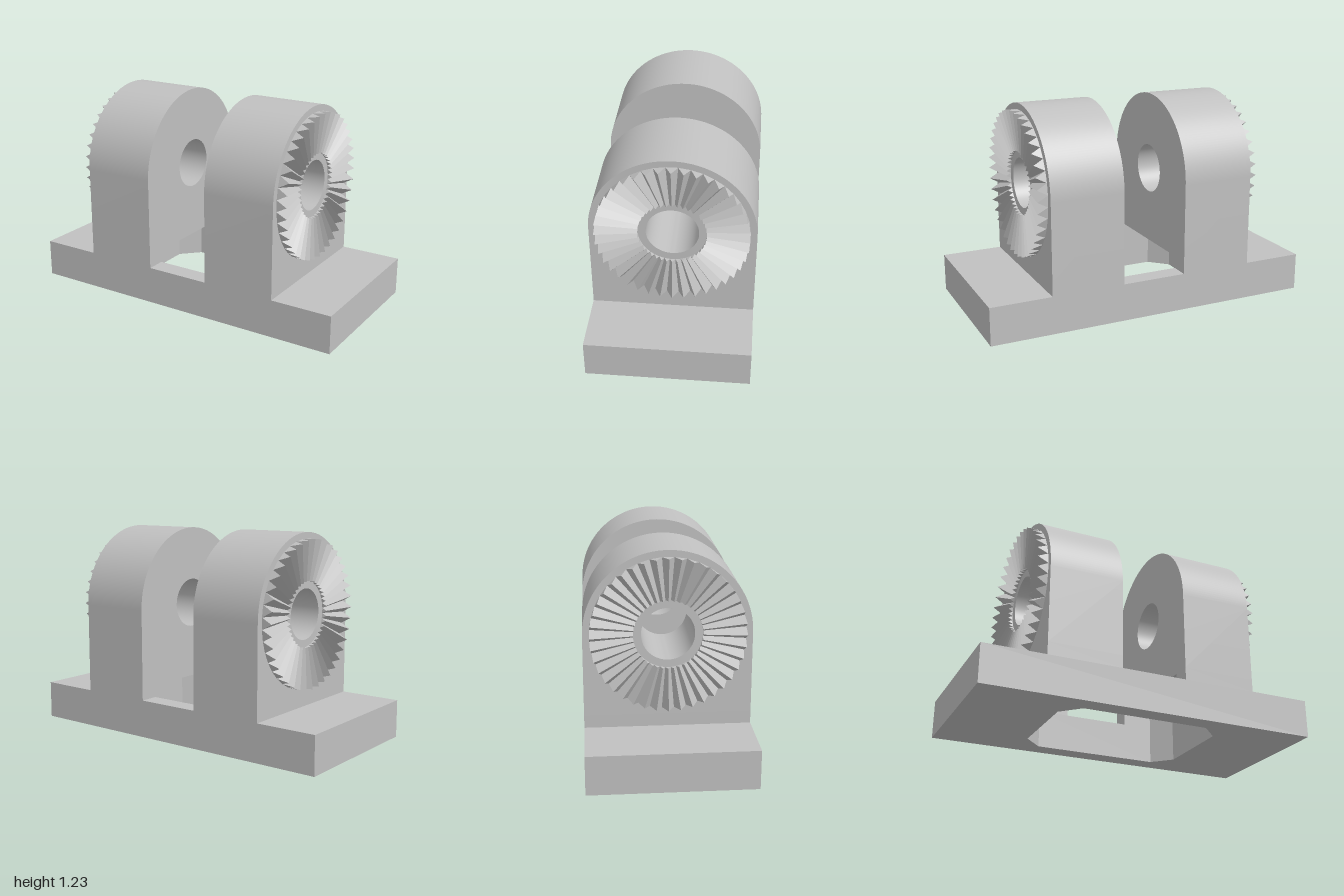
import * as THREE from 'three';
import { toCreasedNormals } from 'three/addons/utils/BufferGeometryUtils.js';

const HALF_Z = 0.467;      // half depth, also the radius of the upright tops
const BASE_H = 0.225;
const POCKET_H = 0.30;     // height of the pocket cut from below
const IN_X = 0.195, OUT_X = 0.635;
const AXIS_Y = 0.765, BORE_R = 0.148;
const TEETH = 40, TOOTH_IN = 0.192, TOOTH_OUT = 0.43, TOOTH_H = 0.062;
const PX = 0.485, PZ = 0.355, CH = 0.108; // pocket half sizes and corner cut

const polygon = (pts) => pts.map(([x, y]) => new THREE.Vector2(x, y));

// Extrude a plan outline (x, z) upwards from height y
function slab(shape, y, height) {
  const g = new THREE.ExtrudeGeometry(shape, { depth: height, bevelEnabled: false });
  return g.rotateX(-Math.PI / 2).translate(0, y, 0);
}

// Base plate with a chamfered rectangular opening
function baseGeometry() {
  const s = new THREE.Shape(polygon([[-1, -HALF_Z], [1, -HALF_Z], [1, HALF_Z], [-1, HALF_Z]]));
  s.holes.push(new THREE.Path(polygon([
    [-PX, -PZ + CH], [-PX, PZ - CH], [-PX + CH, PZ], [PX - CH, PZ],
    [PX, PZ - CH], [PX, -PZ + CH], [PX - CH, -PZ], [-PX + CH, -PZ],
  ])));
  return slab(s, 0, BASE_H);
}

// Foot of an upright, hollowed by the end of the pocket
function footGeometry() {
  return slab(new THREE.Shape(polygon([
    [IN_X, -HALF_Z], [OUT_X, -HALF_Z], [OUT_X, HALF_Z], [IN_X, HALF_Z],
    [IN_X, PZ], [PX - CH, PZ], [PX, PZ - CH], [PX, -PZ + CH], [PX - CH, -PZ], [IN_X, -PZ],
  ])), BASE_H, POCKET_H - BASE_H);
}

// Round-topped lug with a bore through it
function lugGeometry() {
  const s = new THREE.Shape();
  s.moveTo(-HALF_Z, POCKET_H);
  s.lineTo(HALF_Z, POCKET_H);
  s.lineTo(HALF_Z, AXIS_Y);
  s.absarc(0, AXIS_Y, HALF_Z, 0, Math.PI, false);
  s.lineTo(-HALF_Z, POCKET_H);
  const bore = new THREE.Path();
  bore.absarc(0, AXIS_Y, BORE_R, 0, Math.PI * 2, true);
  s.holes.push(bore);
  const g = new THREE.ExtrudeGeometry(s, { depth: OUT_X - IN_X, bevelEnabled: false, curveSegments: 48 });
  g.rotateY(Math.PI / 2).translate(IN_X, 0, 0);
  return toCreasedNormals(g, 0.5);
}

// Ring of radial V-teeth that grow taller towards the rim
function teethGeometry() {
  const pos = [];
  const step = Math.PI / TEETH;
  const point = (r, a, h) => [OUT_X + h, AXIS_Y + r * Math.cos(a), r * Math.sin(a)];
  const tri = (a, b, c) => pos.push(...a, ...b, ...c);
  const innerH = TOOTH_H * TOOTH_IN / TOOTH_OUT;
  for (let i = 0; i < TEETH; i++) {
    const a = i * 2 * step;
    const li = point(TOOTH_IN, a - step, 0), lo = point(TOOTH_OUT, a - step, 0);
    const ri = point(TOOTH_IN, a + step, 0), ro = point(TOOTH_OUT, a + step, 0);
    const pi = point(TOOTH_IN, a, innerH), po = point(TOOTH_OUT, a, TOOTH_H);
    tri(li, lo, po); tri(li, po, pi);   // one flank
    tri(pi, po, ro); tri(pi, ro, ri);   // other flank
    tri(lo, ro, po);                    // rim end
    tri(li, pi, ri);                    // inner end
  }
  const g = new THREE.BufferGeometry();
  g.setAttribute('position', new THREE.Float32BufferAttribute(pos, 3));
  g.computeVertexNormals();
  return g;
}

export function createModel() {
  const grey = new THREE.MeshStandardMaterial({ color: 0xc0c0c0 });
  grey.name = 'light grey';
  const model = new THREE.Group();
  model.name = 'toothedClevisBracket';

  const add = (parent, name, geometry) => {
    const mesh = new THREE.Mesh(geometry, grey);
    mesh.name = name;
    parent.add(mesh);
  };

  add(model, 'basePlate', baseGeometry());

  // Two identical uprights, turned back to back
  const foot = footGeometry(), lug = lugGeometry(), teeth = teethGeometry();
  ['leftUpright', 'rightUpright'].forEach((name, i) => {
    const upright = new THREE.Group();
    upright.name = name;
    add(upright, 'foot', foot);
    add(upright, 'lug', lug);
    add(upright, 'toothedRing', teeth);
    upright.rotation.y = i * Math.PI;
    model.add(upright);
  });
  return model;
}
